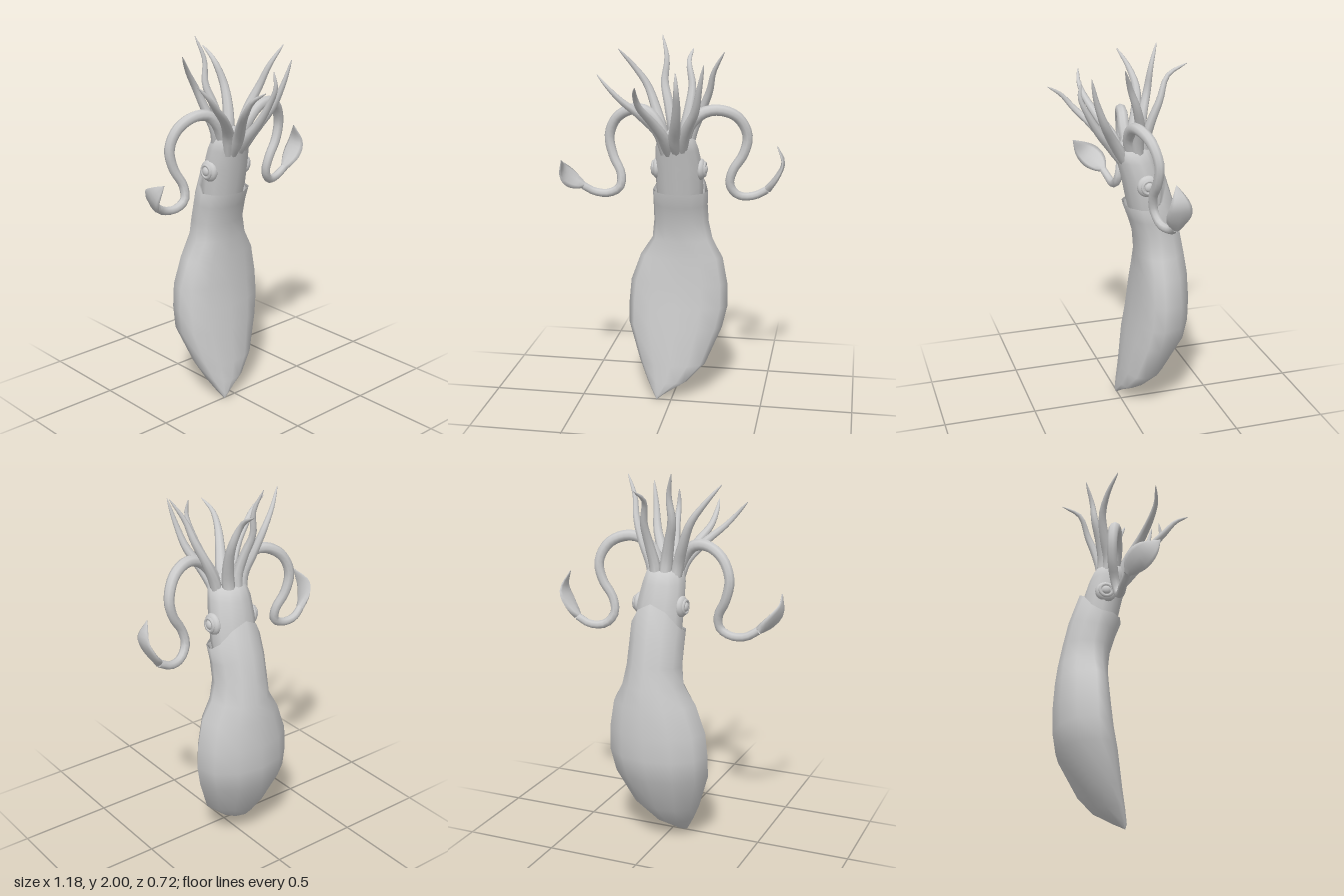
import * as THREE from 'three';

const material = new THREE.MeshStandardMaterial({ color: 0xcccccc, side: THREE.DoubleSide });
const V = (x, y, z) => new THREE.Vector3(x, y, z);

// Skin a list of closed rings (equal point counts) with smooth normals
function loft(rings) {
  const n = rings[0].length, index = [];
  for (let i = 0; i < rings.length - 1; i++) {
    for (let j = 0; j < n; j++) {
      const k = (j + 1) % n, a = i * n + j, b = i * n + k;
      index.push(a, b, a + n, b, b + n, a + n);
    }
  }
  const geometry = new THREE.BufferGeometry().setFromPoints(rings.flat());
  geometry.setIndex(index);
  geometry.computeVertexNormals();
  return geometry;
}

// Upright ring: [y, left x, right x, edge z, front z, back z, rise at the back]
function bodyRing([y, xl, xr, ze, zf, zb, rise = 0], sides = 12) {
  return Array.from({ length: sides }, (_, j) => {
    const a = (j / sides) * Math.PI * 2, s = Math.sin(a);
    return V((xl + xr) / 2 + ((xr - xl) / 2) * Math.cos(a),
      y + rise * Math.max(0, s) ** 2,
      ze + Math.abs(s) * ((s > 0 ? zb : zf) - ze));
  });
}

// Limb along a curve; size(t) gives [half width, half thickness], wide names the width direction
function limb(points, size, wide, steps = 16, sides = 8) {
  const curve = new THREE.CatmullRomCurve3(points.map(p => V(...p)));
  const rings = [];
  for (let i = 0; i <= steps; i++) {
    const t = i / steps, p = curve.getPointAt(t), dir = curve.getTangentAt(t);
    const w = wide.clone().addScaledVector(dir, -wide.dot(dir)).normalize();
    const h = dir.clone().cross(w);
    const [rw, rh] = size(t);
    rings.push(Array.from({ length: sides }, (_, j) => {
      const a = (j / sides) * Math.PI * 2;
      return p.clone().addScaledVector(w, rw * Math.cos(a)).addScaledVector(h, rh * Math.sin(a));
    }));
  }
  return loft(rings);
}

export function createModel() {
  const model = new THREE.Group();
  const add = (name, geometry, parent = model) => {
    const mesh = new THREE.Mesh(geometry, material);
    mesh.name = name;
    parent.add(mesh);
    return mesh;
  };

  // Mantle: flattened, curved body ending in an open collar with a folded-in rim
  add('mantle', loft([
    [0, -0.081, -0.079, 0.005, 0.006, 0.004],
    [0.03, -0.1, -0.04, -0.01, 0.015, -0.06],
    [0.1, -0.14, 0.08, -0.04, 0.012, -0.16],
    [0.2, -0.19, 0.18, -0.085, 0, -0.235],
    [0.4, -0.26, 0.265, -0.14, -0.025, -0.34],
    [0.52, -0.262, 0.292, -0.155, -0.045, -0.358],
    [0.65, -0.25, 0.29, -0.16, -0.06, -0.36],
    [0.8, -0.195, 0.262, -0.16, -0.07, -0.35],
    [0.9, -0.13, 0.205, -0.165, -0.07, -0.337],
    [1.0, -0.12, 0.182, -0.165, -0.06, -0.315, 0.02],
    [1.1, -0.12, 0.178, -0.145, -0.03, -0.285, 0.06],
    [1.18, -0.12, 0.182, -0.125, 0, -0.228, 0.155],
    [1.17, -0.105, 0.165, -0.125, -0.015, -0.21, 0.145],
    [1.08, -0.09, 0.145, -0.13, -0.04, -0.21, 0.1],
  ].map(r => bodyRing(r))));

  // Head: leaning forward, closed by a small cone inside the arm crown
  add('head', loft([
    [1.08, -0.09, 0.145, -0.14, -0.05, -0.23],
    [1.2, -0.1, 0.157, -0.12, -0.02, -0.22],
    [1.32, -0.1, 0.155, -0.1, 0.005, -0.205],
    [1.42, -0.095, 0.137, -0.07, 0.03, -0.175],
    [1.48, -0.08, 0.12, -0.05, 0.045, -0.15],
    [1.5, -0.045, 0.075, -0.04, 0.01, -0.1],
    [1.55, 0.005, 0.015, -0.01, -0.005, -0.015],
  ].map(r => bodyRing(r))));

  // Eyes: flattened bulge with a rim and a pupil
  for (const side of [-1, 1]) {
    const eye = new THREE.Group();
    eye.name = side > 0 ? 'leftEye' : 'rightEye';
    add('eyeball', new THREE.SphereGeometry(0.058, 14, 10), eye).scale.z = 0.5;
    add('eyeRim', new THREE.TorusGeometry(0.034, 0.009, 6, 14), eye).position.z = 0.022;
    const pupil = add('pupil', new THREE.SphereGeometry(0.024, 10, 8), eye);
    pupil.position.z = 0.024;
    pupil.scale.z = 0.6;
    eye.position.set(0.028 + side * 0.117, 1.305, -0.1);
    eye.rotation.y = side * Math.PI / 2;
    model.add(eye);
  }

  // Eight tapering arms in a crown around the mouth
  const arms = [
    [[-0.04, 1.4, -0.01], [-0.06, 1.51, 0.02], [-0.15, 1.62, 0.085], [-0.24, 1.7, 0.125], [-0.3, 1.765, 0.142], [-0.36, 1.83, 0.13]],
    [[-0.015, 1.4, 0.0], [-0.03, 1.5, 0.06], [-0.08, 1.6, 0.14], [-0.125, 1.68, 0.22], [-0.135, 1.75, 0.28], [-0.12, 1.8, 0.355]],
    [[0.03, 1.4, 0.0], [0.025, 1.48, 0.05], [0.045, 1.58, 0.13], [0.06, 1.68, 0.19], [0.065, 1.78, 0.235], [0.06, 1.86, 0.225]],
    [[0.06, 1.4, -0.01], [0.07, 1.48, 0.03], [0.1, 1.56, 0.08], [0.145, 1.65, 0.13], [0.175, 1.78, 0.18], [0.2, 1.9, 0.21]],
    [[0.09, 1.4, -0.07], [0.1, 1.5, -0.06], [0.15, 1.62, -0.055], [0.2, 1.74, -0.02], [0.225, 1.84, 0.02], [0.285, 1.95, 0.065]],
    [[0.05, 1.4, -0.13], [0.055, 1.5, -0.11], [0.075, 1.62, -0.135], [0.085, 1.74, -0.18], [0.06, 1.86, -0.23], [0.07, 1.92, -0.33]],
    [[0.0, 1.4, -0.13], [-0.005, 1.52, -0.105], [-0.03, 1.64, -0.125], [-0.06, 1.76, -0.16], [-0.05, 1.88, -0.175], [-0.08, 2.0, -0.215]],
    [[-0.05, 1.4, -0.1], [-0.06, 1.51, -0.08], [-0.1, 1.63, -0.11], [-0.15, 1.75, -0.13], [-0.22, 1.85, -0.11], [-0.29, 1.94, -0.065]],
  ];
  arms.forEach((points, i) => {
    const [x, , z] = points[2];
    const around = V(-(z + 0.04), 0, x - 0.015).normalize();
    const size = t => {
      const r = 0.036 * (1 - t) ** 0.65 * Math.min(1, 0.55 + t * 3) + 0.002;
      return [r, r * 0.85];
    };
    add(`arm${i + 1}`, limb(points, size, around));
  });

  // Two long tentacles: S-curved stalk widening to a flat leaf-shaped club
  const stalk = t => [0.033 - 0.012 * t, 0.033 - 0.012 * t];
  const club = t => [0.02 + 0.054 * Math.sin(Math.PI * t ** 0.85) - 0.018 * t, 0.021 - 0.018 * t];
  const tentacles = [
    ['leftTentacle', V(0, 0, 1),
      [[0.06, 1.44, -0.04], [0.1, 1.56, -0.01], [0.17, 1.625, -0.01], [0.25, 1.64, -0.02], [0.345, 1.6, -0.05], [0.395, 1.5, -0.075],
        [0.375, 1.4, -0.075], [0.32, 1.31, -0.07], [0.305, 1.23, -0.08], [0.35, 1.17, -0.1], [0.43, 1.165, -0.125], [0.5, 1.2, -0.13]],
      [[0.5, 1.2, -0.13], [0.55, 1.27, -0.125], [0.582, 1.35, -0.12], [0.55, 1.44, -0.11]]],
    ['rightTentacle', V(0, 0.6, -0.8),
      [[-0.03, 1.44, -0.05], [-0.08, 1.56, -0.04], [-0.14, 1.62, -0.05], [-0.22, 1.625, -0.065], [-0.31, 1.57, -0.09], [-0.352, 1.47, -0.105],
        [-0.33, 1.36, -0.1], [-0.285, 1.27, -0.08], [-0.29, 1.2, -0.065], [-0.35, 1.165, -0.06], [-0.43, 1.17, -0.06], [-0.49, 1.205, -0.045]],
      [[-0.49, 1.205, -0.045], [-0.545, 1.25, -0.01], [-0.58, 1.3, 0.045], [-0.565, 1.37, 0.11]]],
  ];
  for (const [name, wide, path, tip] of tentacles) {
    const tentacle = new THREE.Group();
    tentacle.name = name;
    add('stalk', limb(path, stalk, V(0.05, 0.02, 1), 36), tentacle);
    add('club', limb(tip, club, wide, 10), tentacle);
    model.add(tentacle);
  }
  return model;
}
